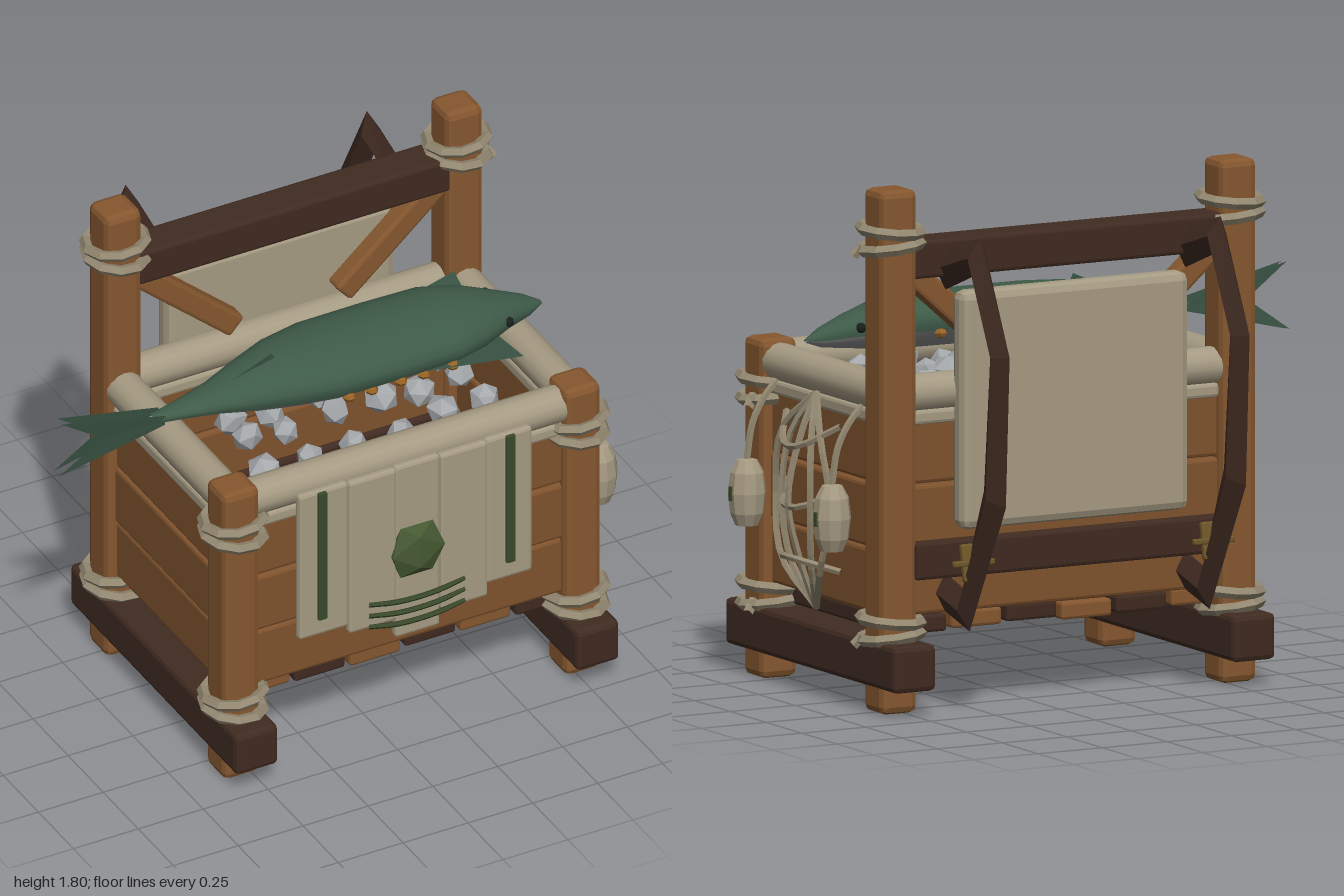
import * as THREE from 'three';
import { RoundedBoxGeometry } from 'three/addons/geometries/RoundedBoxGeometry.js';

const V = (x, y, z) => new THREE.Vector3(x, y, z);
const mat = (color, flat = true, double = false) => new THREE.MeshStandardMaterial({
  color, flatShading: flat, side: double ? THREE.DoubleSide : THREE.FrontSide });
const WOOD = mat(0x85572f), PLANK = mat(0x7f522d), DARK = mat(0x402b21), CREAM = mat(0xa69b83),
  ROPE = mat(0x938871), GREEN = mat(0x465a33), STRIPE = mat(0x38482a), ICE = mat(0xa4a8ab),
  BRASS = mat(0x6e5628), SKIN = mat(0x3e5a48, false, true), BELLY = mat(0x8c8e8d, false, true),
  FIN = mat(0x385242, true, true), SPOT = mat(0x9a6424), EYE = mat(0x18201c), ROLL = mat(0xa69b83, false);
const CX = 0.1175, CZ = 0.155, HX = 0.6575, HZ = 0.42;   // crate centre and post half spacing

export function createModel() {
  const root = new THREE.Group();
  const add = (name, geo, m, x = 0, y = 0, z = 0, parent = root) => {
    const mesh = new THREE.Mesh(geo, m);
    mesh.name = name;
    mesh.position.set(x, y, z);
    parent.add(mesh);
    return mesh;
  };
  // chamfered box
  const box = (name, m, w, h, d, x, y, z, r = 0.012) =>
    add(name, new RoundedBoxGeometry(w, h, d, 1, Math.min(r, w / 3, h / 3, d / 3)), m, x, y, z);
  const rope = (name, pts, r = 0.012, m = ROPE, seg = 10) =>
    add(name, new THREE.TubeGeometry(new THREE.CatmullRomCurve3(pts), seg, r, 5), m);
  // skin over a row of cross-sections
  const loft = (rings, closed) => {
    const n = rings[0].length, idx = [];
    for (let i = 0; i < rings.length - 1; i++)
      for (let j = 0; j < (closed ? n : n - 1); j++) {
        const k = (j + 1) % n, a = i * n + j, b = i * n + k, c = b + n, d = a + n;
        idx.push(a, b, c, a, c, d);
      }
    const g = new THREE.BufferGeometry().setFromPoints(rings.flat());
    g.setIndex(idx);
    g.computeVertexNormals();
    return g;
  };
  let seed = 7;
  const rnd = () => (seed = (seed * 16807) % 2147483647) / 2147483647;

  // posts, skids and rope lashings
  for (const sx of [-1, 1]) {
    const x = CX + sx * HX;
    box('skid', DARK, 0.165, 0.16, 1.19, x, 0.17, CZ, 0.018);
    for (const sz of [-1, 1]) {
      const z = CZ + sz * HZ, h = sz > 0 ? 1.167 : 1.8;
      box('post', WOOD, 0.14, h, 0.14, x, h / 2, z, 0.025);
      for (const y of [0.29, sz > 0 ? 0.995 : 1.63]) {
        [0.028, -0.028].forEach((dy, i) => {
          const ring = add('lashing', new THREE.TorusGeometry(0.104, 0.021, 5, 10), ROPE, x, y + dy, z);
          ring.rotation.set(Math.PI / 2 + (i ? 0.06 : -0.05), i ? -0.1 : 0.07, 0);
        });
        if (sx > 0) rope('lashingTail', [V(x + 0.08, y - 0.02, z - 0.03 * sz), V(x + 0.115, y - 0.06, z - 0.05 * sz)], 0.018, ROPE, 1);
      }
    }
  }

  // floor slats
  for (let i = 0; i < 6; i++)
    box('floorSlat', i % 2 ? DARK : WOOD, 0.195, 0.06, 0.83, CX + (i - 2.5) * 0.213, 0.3 - (i % 3) * 0.006, CZ, 0.01);

  // plank walls, with a rolled cloth rim on top
  const rows = [[0.33, 0.55], [0.555, 0.775], [0.78, 1.0]];
  for (const s of [-1, 1]) {
    const x = CX + s * HX, z = CZ + s * HZ;
    rows.forEach(([a, b], i) => {
      const t = 0.065 + (i % 2) * 0.01;
      box('wallPlank', PLANK, 1.2, b - a, t, CX, (a + b) / 2, z);
      box('sidePlank', PLANK, t, b - a, 0.72, x, (a + b) / 2, CZ);
    });
    box('rimBand', CREAM, 1.18, 0.05, 0.1, CX, 1.01, z);
    box('rimBand', CREAM, 0.1, 0.05, 0.7, x, 1.01, CZ);
    add('rimRoll', new THREE.CylinderGeometry(0.066, 0.066, 1.19, 14), ROLL, CX, 1.088, z).rotation.z = Math.PI / 2;
    add('rimRoll', new THREE.CylinderGeometry(0.066, 0.066, 0.72, 14), ROLL, x, 1.088, CZ).rotation.x = Math.PI / 2;
  }

  // back frame: cross beams, knee braces and padded rest
  const backZ = CZ - HZ;
  box('topBeam', DARK, 1.2, 0.13, 0.135, CX, 1.555, backZ);
  box('lowerBeam', DARK, 1.2, 0.13, 0.135, CX, 0.52, backZ - 0.01);
  for (const s of [-1, 1])
    box('kneeBrace', WOOD, 0.52, 0.085, 0.075, CX + s * 0.4, 1.345, backZ).rotation.z = s * 0.72;
  box('backPad', CREAM, 0.88, 0.82, 0.09, CX, 1.03, -0.337, 0.03);

  // shoulder straps with a diamond section: [outer z, outer y, inner z, inner y]
  const strap = [[-0.3, 1.59, -0.3, 1.44], [-0.548, 1.652, -0.495, 1.514], [-0.75, 1.27, -0.614, 1.252],
    [-0.724, 0.752, -0.571, 0.79], [-0.471, 0.29, -0.424, 0.433], [-0.3, 0.334, -0.3, 0.467]];
  for (const s of [-1, 1]) {
    const x = CX + s * 0.465;
    const rings = strap.map(([oz, oy, iz, iy]) => {
      const mz = (oz + iz) / 2, my = (oy + iy) / 2;
      return [V(x, oy, oz), V(x + 0.037, my, mz), V(x, iy, iz), V(x - 0.037, my, mz)];
    });
    add('shoulderStrap', loft(rings, true), DARK);
    box('buckle', BRASS, 0.085, 0.13, 0.025, x, 0.53, -0.49).rotation.x = 0.2;
    box('bucklePin', BRASS, 0.16, 0.02, 0.02, x, 0.53, -0.498, 0.005);
  }

  // hanging front cloth: [left, right, bottom]
  [[-0.33, -0.142, 0.5], [-0.142, 0.04, 0.47], [0.04, 0.21, 0.39], [0.21, 0.39, 0.455], [0.39, 0.565, 0.5]]
    .forEach(([a, b, y], i) => box('clothStrip', CREAM, b - a + 0.004, 1.09 - y, 0.035, (a + b) / 2, (1.09 + y) / 2, 0.645 + (i % 2) * 0.008));
  for (const x of [-0.245, 0.48]) box('clothBar', STRIPE, 0.034, 0.52, 0.015, x, 0.825, 0.665, 0.004);
  add('clothEmblem', new THREE.IcosahedronGeometry(0.118, 0), GREEN, CX, 0.737, 0.667).scale.z = 0.28;
  for (const y of [0.56, 0.515, 0.47])
    rope('clothStripe', [V(-0.07, y + 0.008, 0.668), V(0.04, y - 0.008, 0.68), V(0.19, y - 0.01, 0.68), V(0.3, y, 0.668)], 0.01, STRIPE);

  // net on the side wall
  for (const o of [-0.19, -0.1, 0, 0.1, 0.19])
    rope('netStrand', [V(0.83, 1.04, CZ), V(0.89, 0.9, CZ + o * 0.72), V(0.94 - Math.abs(o) * 0.3, 0.68, CZ + o),
      V(0.89, 0.46, CZ + o * 0.72), V(0.83, 0.3, CZ)], 0.012, ROPE, 14);
  for (const [y, sag, w] of [[0.95, -0.08, 0.19], [0.72, -0.06, 0.18], [0.45, 0.03, 0.19]])
    rope('netCross', [V(0.84, y, CZ + w), V(0.93, y + sag, CZ + 0.05), V(0.93, y + sag, CZ - 0.05), V(0.84, y, CZ - w)]);

  // floats hanging on cords
  const floatProfile = [[0, -0.115], [0.04, -0.112], [0.058, -0.07], [0.066, 0], [0.058, 0.07], [0.036, 0.112], [0, 0.118]]
    .map(([r, y]) => new THREE.Vector2(r, y));
  for (const z of [0.455, -0.14]) {
    rope('floatCord', [V(0.8, 1.05, z), V(0.86, 0.99, z), V(0.91, 0.9, z), V(0.933, 0.77, z)]);
    add('float', new THREE.LatheGeometry(floatProfile, 10), CREAM, 0.933, 0.66, z);
    box('floatMark', STRIPE, 0.012, 0.05, 0.02, 0.995, 0.66, z, 0.003);
  }

  // ice chunks
  for (let i = 0; i < 6; i++)
    for (let j = 0; j < 4; j++) {
      const c = add('iceChunk', new THREE.IcosahedronGeometry(0.05 + rnd() * 0.018, 0), ICE,
        -0.35 + i * 0.165 + rnd() * 0.07, 1.04 + rnd() * 0.05, -0.08 + j * 0.155 + rnd() * 0.05);
      c.rotation.set(rnd() * 3, rnd() * 3, rnd() * 3);
      c.scale.y = 0.85;
    }

  // fish lying on top: sections are [x, centre y, half height, half width]
  const fish = new THREE.Group();
  fish.name = 'fish';
  fish.position.set(0, 1.25, 0.18);
  fish.rotation.x = 0.1;
  root.add(fish);
  const sections = [[-0.64, -0.03, 0.016, 0.02], [-0.52, -0.025, 0.026, 0.045], [-0.4, -0.018, 0.042, 0.075],
    [-0.28, -0.008, 0.07, 0.115], [-0.15, 0.004, 0.09, 0.155], [0, 0.006, 0.096, 0.182], [0.25, 0.006, 0.096, 0.184],
    [0.46, 0.006, 0.095, 0.178], [0.58, 0, 0.085, 0.145], [0.7, -0.012, 0.06, 0.085], [0.8, -0.027, 0.035, 0.045], [0.86, -0.035, 0.006, 0.01]];
  const skin = (from, to, n) => loft(sections.map(([x, y, h, w]) => Array.from({ length: n + 1 }, (_, k) => {
    const t = (from + (to - from) * k / n) * Math.PI;
    return V(x, y + h * Math.cos(t), w * Math.sin(t));
  })), false);
  add('fishBack', skin(-0.6, 0.6, 14), SKIN, 0, 0, 0, fish);
  add('fishBelly', skin(0.6, 1.4, 8), BELLY, 0, 0, 0, fish);
  const fin = (name, pts) => {
    const g = new THREE.BufferGeometry().setFromPoints(pts);
    g.setIndex(pts.slice(2).flatMap((_, i) => [0, i + 1, i + 2]));
    g.computeVertexNormals();
    add(name, g, FIN, 0, 0, 0, fish);
  };
  for (const s of [-1, 1]) {
    // tail lobes, each a thin pair of sheets
    for (const e of [-1, 1])
      fin('tailFin', [V(-0.6, -0.03, e * 0.025), V(-0.6, -0.03 + s * 0.02, e * 0.025), V(-1, -0.03 + s * 0.115, e * 0.018), V(-0.84, -0.03, e * 0.018)]);
    fin('sideFin', [V(0.64, -0.03, s * 0.1), V(0.33, -0.03, s * 0.17), V(0.66, -0.018, s * 0.25)]);
    add('eye', new THREE.SphereGeometry(0.018, 8, 6), EYE, 0.69, 0, s * 0.086, fish);
    for (let i = 0; i < 5; i++)
      add('spot', new THREE.SphereGeometry(0.024, 6, 4), SPOT, 0.03 + i * 0.1, i % 2 ? -0.055 : -0.035, s * (i % 2 ? 0.15 : 0.17), fish).scale.y = 0.7;
  }
  fin('dorsalFin', [V(-0.39, 0.02, 0.01), V(-0.19, 0.11, 0.01), V(-0.16, 0.06, 0.01)]);
  return root;
}
